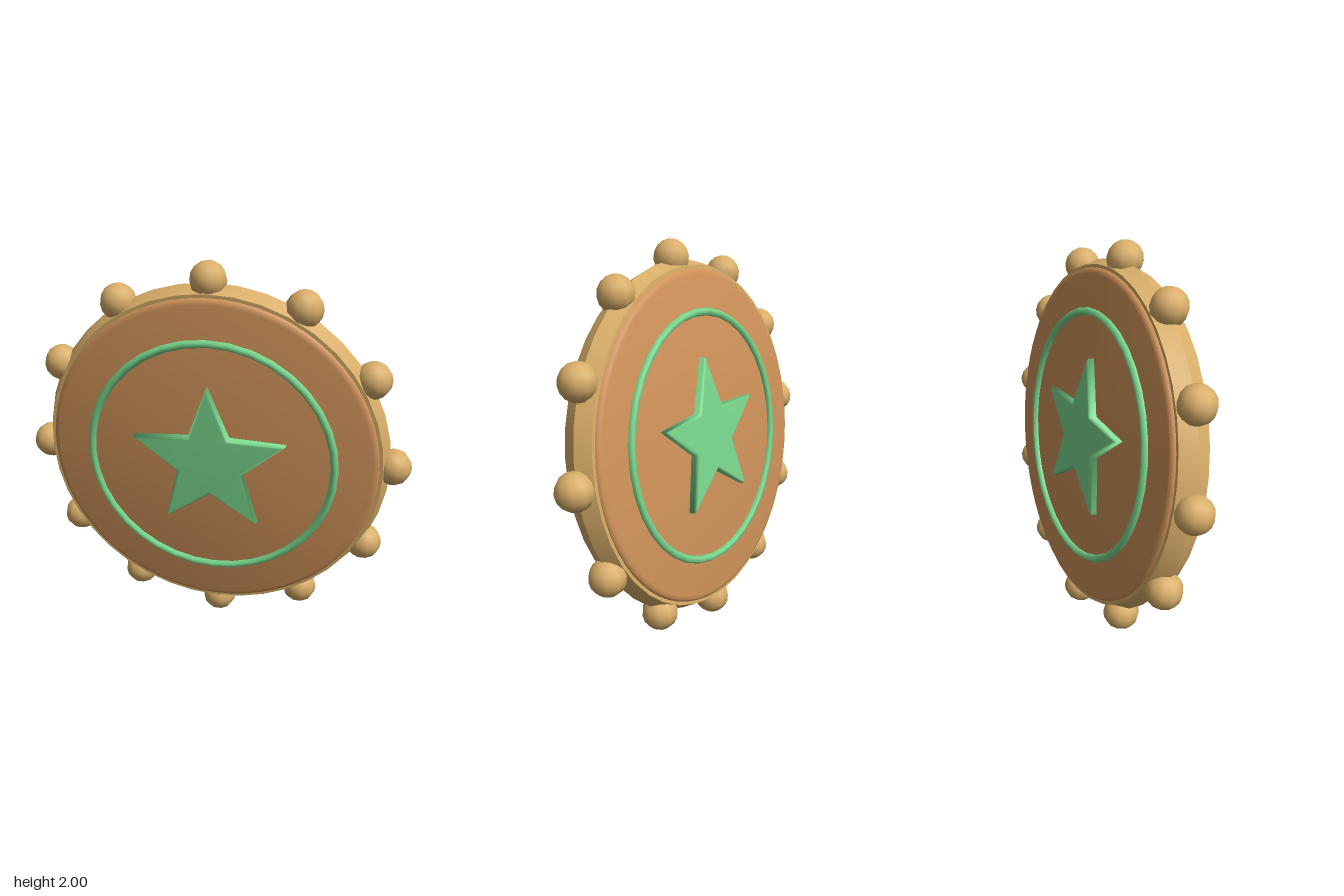
import * as THREE from 'three';
import { mergeVertices, toCreasedNormals } from 'three/addons/utils/BufferGeometryUtils.js';

const material = (name, color) => {
  const m = new THREE.MeshStandardMaterial({ color });
  m.name = name;
  return m;
};

// Five-pointed bevelled star with soft shading, centred on its own thickness.
function starGeometry(outer, inner, halfThickness) {
  const points = [];
  for (let i = 0; i < 10; i++) {
    const r = i % 2 ? inner : outer;
    const a = Math.PI / 2 + (i * Math.PI) / 5;
    points.push(new THREE.Vector2(r * Math.cos(a), r * Math.sin(a)));
  }
  const bevel = 0.015;
  const depth = 2 * (halfThickness - bevel);
  const geo = new THREE.ExtrudeGeometry(new THREE.Shape(points), {
    depth, bevelEnabled: true, bevelThickness: bevel, bevelSize: bevel,
    bevelOffset: -bevel, bevelSegments: 2,
  });
  geo.translate(0, 0, -depth / 2);
  geo.deleteAttribute('uv');
  geo.deleteAttribute('normal');
  const smooth = mergeVertices(geo, 1e-4);
  smooth.computeVertexNormals();
  return smooth;
}

export function createModel() {
  const gold = material('pale gold', 0xd9ae69);
  const bronze = material('bronze', 0xd0935a);
  const green = material('green', 0x7ad88e);

  const model = new THREE.Group();
  model.name = 'medallion';
  const coin = new THREE.Group();
  coin.name = 'tiltedDisc';
  coin.position.y = 1;
  coin.rotation.set(0.14, -0.432, 0, 'YXZ');
  model.add(coin);

  const add = (name, geometry, mat, parent = coin) => {
    const mesh = new THREE.Mesh(geometry, mat);
    mesh.name = name;
    parent.add(mesh);
    return mesh;
  };

  // Main disc with rounded edges
  const half = [[0, 0.1], [0.825, 0.1], [0.842, 0.096], [0.852, 0.087], [0.856, 0.074]];
  const profile = [
    ...half.map(([r, y]) => new THREE.Vector2(r, -y)),
    ...half.slice().reverse().map(([r, y]) => new THREE.Vector2(r, y)),
  ];
  const disc = new THREE.LatheGeometry(profile, 64);
  disc.rotateX(Math.PI / 2);
  add('disc', toCreasedNormals(disc, 0.7), bronze);

  // Six-sided outer rim
  const rim = new THREE.TorusGeometry(0.84, 0.065, 6, 40);
  rim.scale(1, 1, 1.42);
  add('rim', toCreasedNormals(rim, 0.5), gold);

  // Beads around the rim
  const beads = new THREE.Group();
  beads.name = 'beads';
  coin.add(beads);
  const beadGeometry = new THREE.SphereGeometry(0.0925, 10, 8);
  for (let i = 0; i < 12; i++) {
    const a = (i * Math.PI) / 6;
    add('bead', beadGeometry, gold, beads).position.set(0.917 * Math.cos(a), 0.917 * Math.sin(a), 0);
  }

  // Raised ring on each face
  const ringGeometry = new THREE.TorusGeometry(0.638, 0.02, 6, 36);
  for (const side of [1, -1]) {
    add(side > 0 ? 'frontRing' : 'backRing', ringGeometry, green).position.z = side * 0.106;
  }

  // Star standing proud of both faces
  add('star', starGeometry(0.415, 0.178, 0.142), green);

  return model;
}
